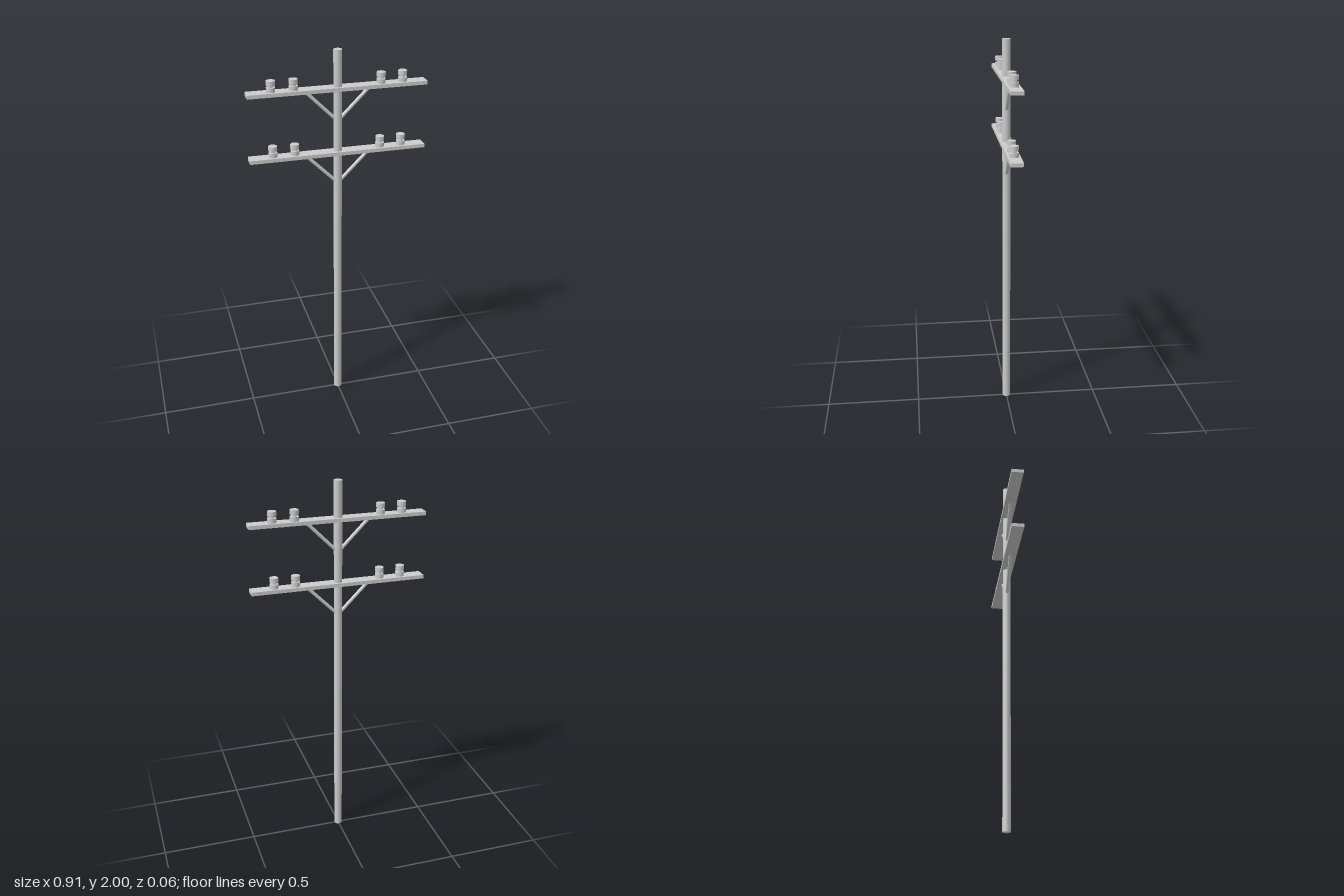
import * as THREE from 'three';

const material = new THREE.MeshStandardMaterial({ color: 0xcccccc });

function addMesh(parent, name, geometry, x = 0, y = 0, z = 0) {
  const mesh = new THREE.Mesh(geometry, material);
  mesh.name = name;
  mesh.position.set(x, y, z);
  parent.add(mesh);
  return mesh;
}

// Stacked insulator: wide base, narrow neck, wide cap; origin at its foot
function createInsulator() {
  const insulator = new THREE.Group();
  insulator.name = 'insulator';
  const disc = new THREE.CylinderGeometry(0.0225, 0.0225, 0.023, 24);
  addMesh(insulator, 'insulatorBase', disc, 0, 0.0115);
  addMesh(insulator, 'insulatorNeck', new THREE.CylinderGeometry(0.013, 0.013, 0.014, 24), 0, 0.028);
  addMesh(insulator, 'insulatorCap', disc, 0, 0.0445);
  return insulator;
}

// Crossarm with two diagonal braces and four insulators; origin at the arm's centre
function createCrossarm() {
  const arm = new THREE.Group();
  arm.name = 'crossarm';
  const thickness = 0.019;
  addMesh(arm, 'crossarmBeam', new THREE.BoxGeometry(0.914, thickness, 0.065));

  for (const side of [-1, 1]) {
    // Brace runs at 45 degrees from the pole up to the beam
    const low = new THREE.Vector2(0.012, -0.158);
    const high = new THREE.Vector2(0.167, -0.003);
    const brace = addMesh(
      arm, 'brace',
      new THREE.CylinderGeometry(0.009, 0.009, low.distanceTo(high), 12),
      side * (low.x + high.x) / 2, (low.y + high.y) / 2
    );
    brace.rotation.z = -side * Math.PI / 4;

    for (const x of [0.223, 0.335]) {
      const insulator = createInsulator();
      insulator.position.set(side * x, thickness / 2, 0);
      arm.add(insulator);
    }
  }
  return arm;
}

export function createModel() {
  const model = new THREE.Group();
  model.name = 'utilityPole';
  addMesh(model, 'pole', new THREE.CylinderGeometry(0.0215, 0.0215, 2, 24), 0, 1);

  for (const y of [1.805, 1.468]) {
    const arm = createCrossarm();
    arm.position.y = y;
    model.add(arm);
  }
  return model;
}
